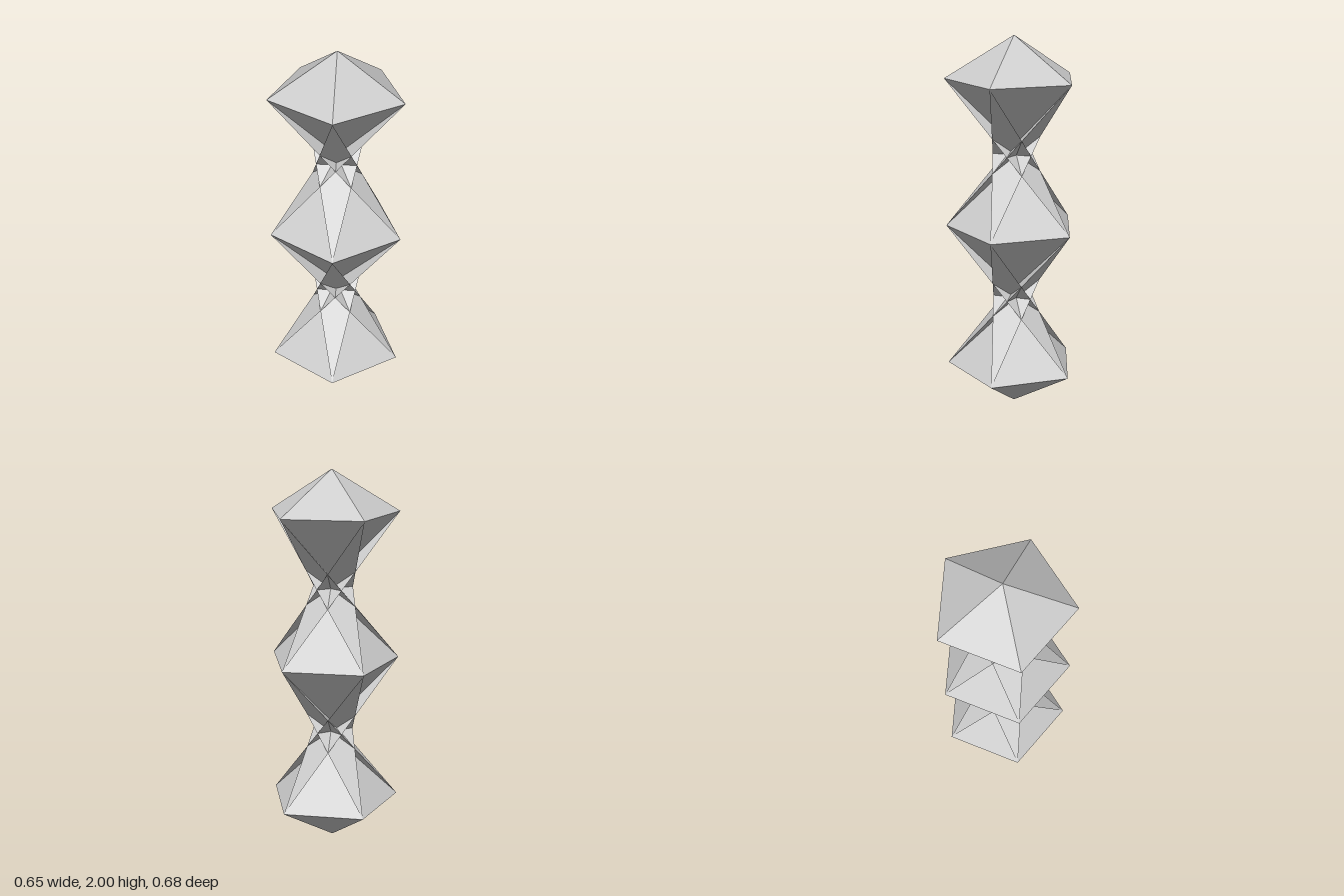
import * as THREE from 'three';

const R = 0.357;                        // pentagon radius
const CX = 0.034;                       // axis offset that centres the pentagon on x
const EDGE = 2 * R * Math.sin(Math.PI / 5);
const CAP = Math.sqrt(EDGE * EDGE - R * R); // height of an equilateral-sided cap
const RINGS = [2 - CAP, 1, CAP];        // heights of the three pentagons

const material = new THREE.MeshStandardMaterial({
  color: 0xcccccc, flatShading: true, side: THREE.DoubleSide,
});

// Corner i of the pentagon at height y
function corner(i, y) {
  const a = Math.PI + (i * 2 * Math.PI) / 5;
  return new THREE.Vector3(CX + R * Math.cos(a), y, R * Math.sin(a));
}

function facetMesh(name, points) {
  const geometry = new THREE.BufferGeometry().setFromPoints(points);
  geometry.computeVertexNormals();
  const mesh = new THREE.Mesh(geometry, material);
  mesh.name = name;
  return mesh;
}

// Five-sided pyramid from a ring to its apex
function cap(name, ringY, apexY) {
  const apex = new THREE.Vector3(CX, apexY, 0);
  const up = apexY > ringY;
  const points = [];
  for (let i = 0; i < 5; i++) {
    const a = corner(i, ringY), b = corner(i + 1, ringY);
    points.push(apex, up ? b : a, up ? a : b);
  }
  return facetMesh(name, points);
}

// Crossed antiprism: each edge joins the opposite corner of the other ring
function crossedWaist(name, topY, bottomY) {
  const points = [];
  for (let i = 0; i < 5; i++) {
    points.push(corner(i, topY), corner(i + 1, topY), corner(i + 3, bottomY));
    points.push(corner(i + 1, bottomY), corner(i, bottomY), corner(i + 3, topY));
  }
  return facetMesh(name, points);
}

export function createModel() {
  const model = new THREE.Group();
  model.name = 'crossedPentagonTower';
  model.add(
    cap('topCap', RINGS[0], 2),
    crossedWaist('upperWaist', RINGS[0], RINGS[1]),
    crossedWaist('lowerWaist', RINGS[1], RINGS[2]),
    cap('bottomCap', RINGS[2], 0),
  );
  return model;
}
